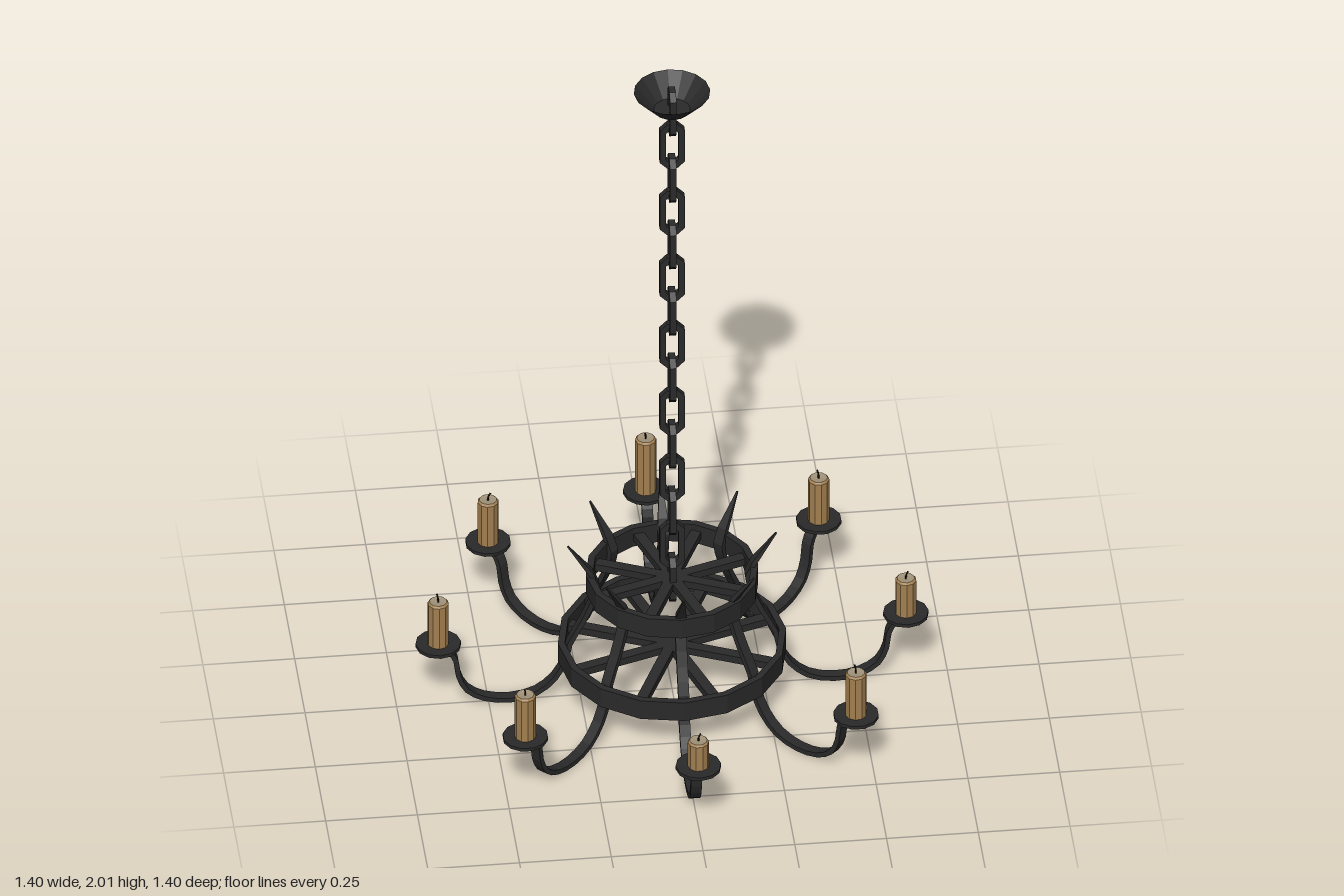
import * as THREE from 'three';

const iron = new THREE.MeshStandardMaterial({ color: 0x2a2a2b, side: THREE.DoubleSide });
iron.name = 'blackIron';
const wax = new THREE.MeshStandardMaterial({ color: 0xa38050 });
wax.name = 'agedWax';
const waxTop = new THREE.MeshStandardMaterial({ color: 0xa3947a });
waxTop.name = 'paleWax';
const wickMat = new THREE.MeshStandardMaterial({ color: 0x1a1816 });
wickMat.name = 'burntWick';

// Faceted normals
function facet(geometry) {
  const g = geometry.index ? geometry.toNonIndexed() : geometry;
  g.computeVertexNormals();
  return g;
}

function add(parent, name, geometry, material) {
  const mesh = new THREE.Mesh(geometry, material);
  mesh.name = name;
  parent.add(mesh);
  return mesh;
}

const lathe = (pts, sides) =>
  facet(new THREE.LatheGeometry(pts.map(p => new THREE.Vector2(...p)), sides));

// Flat band: stations are [x, y, half thickness, half width], swept in the xy plane
function sweepBand(stations) {
  const pos = [], idx = [], n = stations.length;
  stations.forEach(([x, y, t, w], i) => {
    const a = stations[Math.max(i - 1, 0)], b = stations[Math.min(i + 1, n - 1)];
    const len = Math.hypot(b[0] - a[0], b[1] - a[1]);
    const nx = -(b[1] - a[1]) / len, ny = (b[0] - a[0]) / len;
    for (const [s, z] of [[1, 1], [-1, 1], [-1, -1], [1, -1]])
      pos.push(x + nx * t * s, y + ny * t * s, w * z);
  });
  for (let i = 0; i < n - 1; i++) {
    for (let k = 0; k < 4; k++) {
      const a = i * 4 + k, b = i * 4 + (k + 1) % 4;
      idx.push(a, b, b + 4, a, b + 4, a + 4);
    }
  }
  const e = (n - 1) * 4;
  idx.push(0, 2, 1, 0, 3, 2, e, e + 1, e + 2, e, e + 2, e + 3);
  const g = new THREE.BufferGeometry();
  g.setAttribute('position', new THREE.Float32BufferAttribute(pos, 3));
  g.setIndex(idx);
  return facet(g);
}

// Rectangle with cut corners, for chain links
function cutRect(w, h, c) {
  return [[w - c, -h], [w, -h + c], [w, h - c], [w - c, h],
    [c - w, h], [-w, h - c], [-w, c - h], [c - w, -h]].map(p => new THREE.Vector2(...p));
}

export function createModel() {
  const model = new THREE.Group();
  model.name = 'chandelier';

  // Open ceiling dish
  add(model, 'ceilingDish', lathe([[0, 1.942], [0.05, 1.942], [0.104, 2]], 16), iron);

  // Chain of links, each turned a quarter from the last
  const linkShape = new THREE.Shape(cutRect(0.034, 0.073, 0.02));
  linkShape.holes.push(new THREE.Path(cutRect(0.017, 0.056, 0.012).reverse()));
  const linkGeo = new THREE.ExtrudeGeometry(linkShape, { depth: 0.018, bevelEnabled: false });
  linkGeo.translate(0, 0, -0.009);
  const chain = new THREE.Group();
  chain.name = 'chain';
  model.add(chain);
  for (let i = 0; i < 15; i++) {
    const link = add(chain, 'chainLink', linkGeo, iron);
    link.position.y = 1.935 - i * 0.1114;
    link.rotation.y = i % 2 ? 0 : Math.PI / 2;
  }

  // Two hoops with spokes meeting at the centre
  for (const [name, r, y] of [['lowerHoop', 0.311, 0.147], ['upperHoop', 0.235, 0.369]]) {
    const hoop = new THREE.Group();
    hoop.name = name;
    model.add(hoop);
    const a = y - 0.03, b = y + 0.03, q = r - 0.019;
    add(hoop, 'band', lathe([[r, a], [r, b], [q, b], [q, a], [r, a]], 16), iron);
    for (let k = 0; k < 4; k++) {
      for (const deg of [18.5, 66]) {
        const spoke = new THREE.BoxGeometry(r - 0.012, 0.022, 0.03);
        spoke.translate((r - 0.012) / 2, y, 0);
        add(hoop, 'spoke', spoke, iron).rotation.y = THREE.MathUtils.degToRad(deg + k * 90);
      }
    }
  }

  // Arm band: pointed spike, down past both hoops, then a low sweep to the candle
  const curve = new THREE.CatmullRomCurve3([
    [0.205, 0.37], [0.212, 0.33], [0.245, 0.25], [0.28, 0.18], [0.29, 0.13], [0.32, 0.07],
    [0.37, 0.025], [0.44, 0.008], [0.51, 0.018], [0.56, 0.05], [0.583, 0.1],
    [0.59, 0.15], [0.61, 0.183], [0.64, 0.19],
  ].map(([x, y]) => new THREE.Vector3(x, y, 0)));
  const armGeo = sweepBand([
    [0.284, 0.5, 0.002, 0.002],
    [0.222, 0.41, 0.007, 0.014],
    ...curve.getPoints(26).map(p => [p.x, Math.max(p.y, 0.007), 0.007, 0.015]),
  ]);
  const plateGeo = lathe([[0, 0.183], [0.028, 0.185], [0.062, 0.197], [0.062, 0.207], [0, 0.204]], 12);

  // Candle tops, going round from +x towards -z
  const tops = [0.32, 0.345, 0.38, 0.345, 0.345, 0.345, 0.29, 0.345];
  tops.forEach((top, i) => {
    const arm = new THREE.Group();
    arm.name = 'candleArm';
    arm.rotation.y = i * Math.PI / 4;
    model.add(arm);
    add(arm, 'armBand', armGeo, iron);

    const holder = new THREE.Group();
    holder.name = 'candleHolder';
    holder.position.x = 0.637;
    arm.add(holder);
    add(holder, 'dripPlate', plateGeo, iron);
    add(holder, 'candle', lathe([[0.029, 0.2], [0.029, top - 0.006], [0.024, top]], 10), wax);
    add(holder, 'candleTop', lathe([[0.024, top], [0, top - 0.003]], 10), waxTop);

    // Bent wick
    const wickPath = new THREE.CatmullRomCurve3([
      new THREE.Vector3(0, top - 0.004, 0),
      new THREE.Vector3(0.001, top + 0.01, 0),
      new THREE.Vector3(0.007, top + 0.022, 0),
    ]);
    const wick = add(holder, 'wick', new THREE.TubeGeometry(wickPath, 4, 0.0025, 5), wickMat);
    wick.rotation.y = i * 1.3;
  });

  return model;
}
